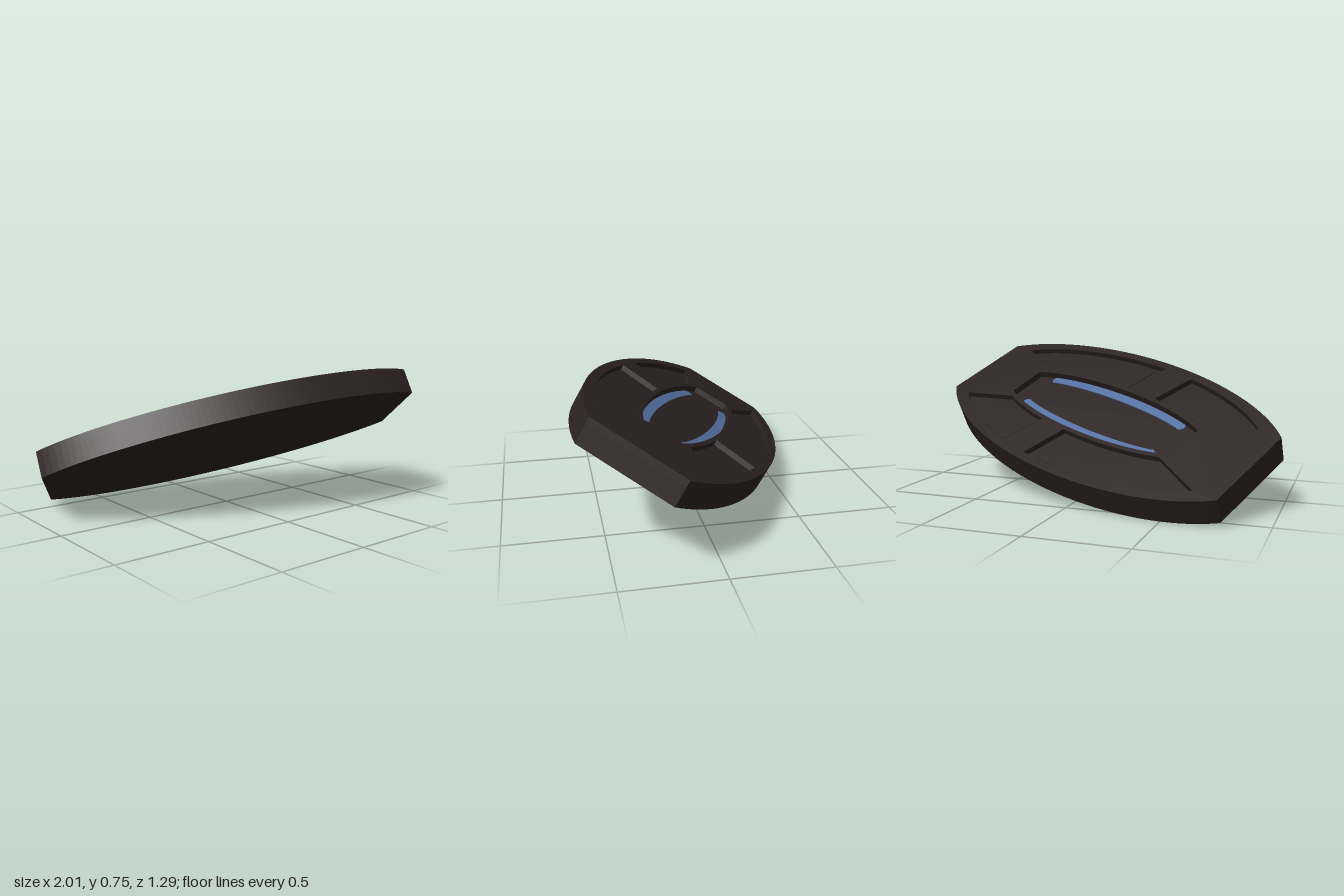
import * as THREE from 'three';

const body = new THREE.MeshStandardMaterial({ color: 0x2b2121 });
body.name = 'darkBrown';
const blue = new THREE.MeshStandardMaterial({ color: 0x5370a2 });
blue.name = 'stripeBlue';

// Points on the upper half of an ellipse with radii a and b, from u0 to u1
function arc(a, b, u0, u1, n = 32) {
  return Array.from({ length: n + 1 }, (_, i) => {
    const u = u0 + (u1 - u0) * i / n;
    return new THREE.Vector2(u, b * Math.sqrt(1 - (u / a) ** 2));
  });
}
const turned = pts => pts.map(p => new THREE.Vector2(-p.x, -p.y));

// Horizontal slab from y0 to y1; the outline runs clockwise and is
// reversed so that the hole walls face inwards
function slab(name, pts, y0, y1, mat, holes = []) {
  const shape = new THREE.Shape([...pts].reverse());
  shape.holes = holes.map(h => new THREE.Path(h));
  const g = new THREE.ExtrudeGeometry(shape, { depth: y1 - y0, bevelEnabled: false });
  g.rotateX(-Math.PI / 2);
  g.translate(0, y0, 0);
  const mesh = new THREE.Mesh(g, mat);
  mesh.name = name;
  return mesh;
}

// Same outline shrunk towards its middle
function inset(pts, s) {
  const c = new THREE.Box2().setFromPoints(pts).getCenter(new THREE.Vector2());
  return pts.map(p => p.clone().sub(c).multiplyScalar(s).add(c));
}

export function createModel() {
  const group = new THREE.Group();
  group.name = 'shieldPlate';
  const plate = new THREE.Group();
  plate.name = 'tiltedPlate';
  group.add(plate);

  const top = 0.0685, floor = top - 0.035;

  // Outline: two bowed sides with straight ends
  const side = arc(1.135, 0.52, -0.993, 0.993, 64);
  const outline = [...side, ...turned(side)];

  // Central recess and four side panels
  const recessSide = arc(0.713, 0.2, -0.605, 0.605, 40);
  const recess = [...recessSide, ...turned(recessSide)];
  const panelA = [...arc(1.026, 0.471, -0.86, 0.089), ...arc(0.762, 0.226, 0.039, -0.57)];
  const panelB = [...arc(1.026, 0.471, 0.285, 0.86), ...arc(0.762, 0.226, 0.57, 0.225)];
  const panels = [panelA, panelB, turned(panelA), turned(panelB)];

  plate.add(slab('base', outline, -top, floor, body));
  plate.add(slab('raisedFrame', outline, floor, top, body, [recess, ...panels]));
  panels.forEach((p, i) => {
    plate.add(slab('panelFloor' + (i + 1), p, floor, floor + 0.006, body));
    plate.add(slab('panelInset' + (i + 1), inset(p, 0.86), floor + 0.006, floor + 0.009, body));
  });

  // Curved stripes with rounded ends
  const w = 0.027, a = 0.69, b = 0.167, end = 0.475;
  const tip = b * Math.sqrt(1 - (end / a) ** 2);
  const cap = (x, from) => Array.from({ length: 7 }, (_, i) => {
    const t = from - Math.PI * (i + 1) / 8;
    return new THREE.Vector2(x + w * Math.cos(t), tip + w * Math.sin(t));
  });
  const stripe = [
    ...arc(a + w, b + w, -end - 0.008, end + 0.008), ...cap(end, Math.PI / 2 - 0.3),
    ...arc(a - w, b - w, end - 0.008, -end + 0.008), ...cap(-end, -Math.PI / 2 + 0.3),
  ];
  plate.add(slab('stripeBack', stripe, floor, floor + 0.005, blue));
  plate.add(slab('stripeFront', turned(stripe), floor, floor + 0.005, blue));

  // Lay the plate at its slant
  const u = new THREE.Vector3(0.894, 0.181, 0.41).normalize();
  const n = new THREE.Vector3(0.047, 0.872, -0.488).normalize();
  const v = new THREE.Vector3().crossVectors(u, n).normalize();
  plate.quaternion.setFromRotationMatrix(new THREE.Matrix4().makeBasis(u, n, v));
  plate.position.y = 0.375;
  return group;
}
